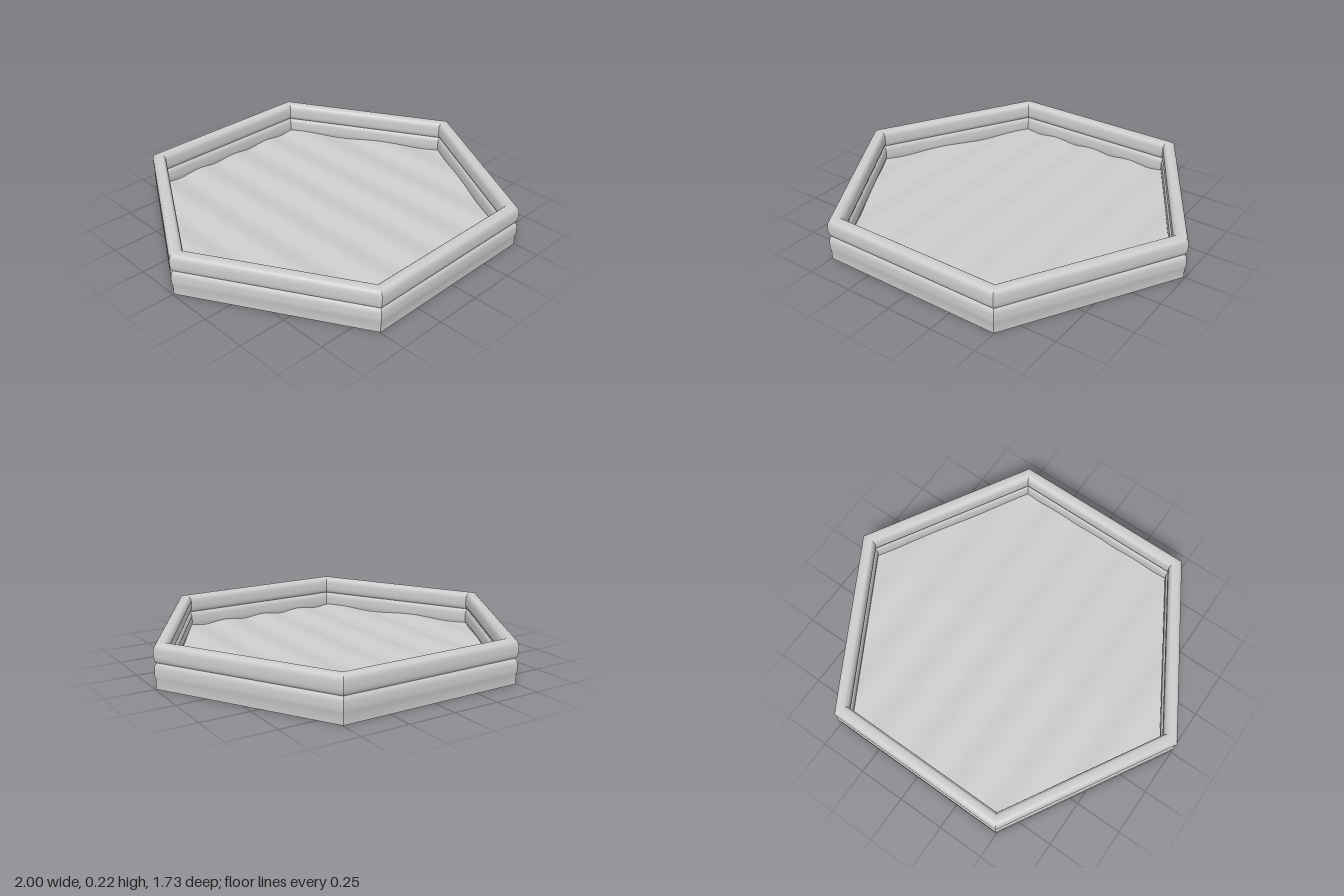
import * as THREE from 'three';
import { toCreasedNormals } from 'three/addons/utils/BufferGeometryUtils.js';

const COS30 = Math.cos(Math.PI / 6);
const MID = 0.831;   // distance from the centre to the middle of the wall
const HALF = 0.035;  // half the wall thickness

// Six-sided lathe: profile is [distance to flat side, height]
function hexLathe(profile) {
  const pts = profile.map(([a, y]) => new THREE.Vector2(a / COS30, y));
  return toCreasedNormals(new THREE.LatheGeometry(pts, 6, Math.PI / 2), 0.6);
}

// Bulging side of a rounded roll at height dy from its middle
const bulge = (dy) => HALF * Math.cbrt(Math.max(0, 1 - Math.abs(dy / 0.05) ** 3));

export function createModel() {
  const group = new THREE.Group();
  const material = new THREE.MeshStandardMaterial({ color: 0xcccccc, side: THREE.DoubleSide });
  const add = (name, geometry) => {
    const mesh = new THREE.Mesh(geometry, material);
    mesh.name = name;
    group.add(mesh);
  };

  // Outer half of the wall: straight foot, lower roll, groove, upper roll
  const side = [[0.03, 0]];
  for (let i = 0; i <= 10; i++) {
    const y = 0.05 + 0.008 * i;
    side.push([bulge(y - 0.085), y]);
  }
  for (let i = 1; i <= 24; i++) {
    const t = -1.12 + (i / 24) * (Math.PI / 2 + 1.12);
    const y = 0.175 + 0.05 * Math.sign(t) * Math.abs(Math.sin(t)) ** (2 / 3);
    if (y > 0.131) side.push([bulge(y - 0.175), y]);
  }

  // Wall with closed underside, mirrored to its inner face
  const outer = side.map(([w, y]) => [MID + w, y]);
  const inner = side.slice(1, -1).reverse().map(([w, y]) => [MID - w, y]);
  add('wallAndBase', hexLathe([[0, 0], ...outer, ...inner, [0.8, 0.02]]));

  // Rippled floor: a sheet fitted to the hexagon, waves running along z
  const R = 0.82 / COS30;
  const floor = new THREE.PlaneGeometry(2 * R, 2, 128, 2).rotateX(-Math.PI / 2);
  const p = floor.attributes.position;
  for (let i = 0; i < p.count; i++) {
    const x = p.getX(i);
    const depth = Math.min(0.82, Math.sqrt(3) * (R - Math.abs(x)));
    p.setXYZ(i, x, 0.052 + 0.007 * Math.cos((x * 2 * Math.PI) / 0.25), p.getZ(i) * depth);
  }
  floor.computeVertexNormals();
  add('rippledFloor', floor);

  return group;
}
